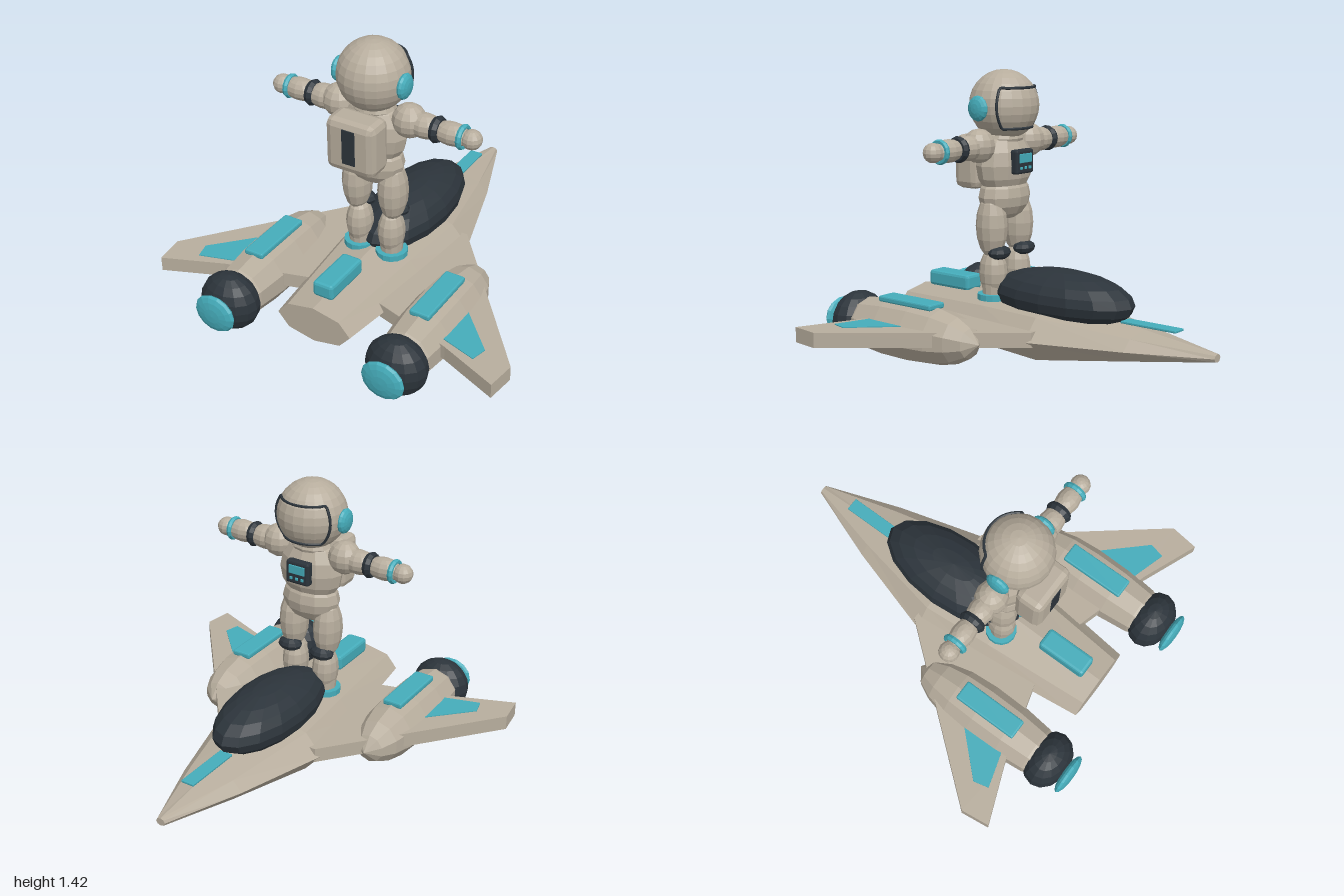
import * as THREE from 'three';
import { RoundedBoxGeometry } from 'three/addons/geometries/RoundedBoxGeometry.js';

const mat = (name, color) => {
  const m = new THREE.MeshStandardMaterial({ color, flatShading: true });
  m.name = name;
  return m;
};

export function createModel() {
  const beige = mat('warm grey shell', 0xb7ad9d);
  const dark = mat('charcoal', 0x2c343b);
  const teal = mat('teal', 0x45acba);
  const model = new THREE.Group();
  model.name = 'astronautOnSpaceship';
  const ship = new THREE.Group();
  ship.name = 'spaceship';
  const astronaut = new THREE.Group();
  astronaut.name = 'astronaut';
  model.add(ship, astronaut);

  const add = (parent, name, geo, material, x = 0, y = 0, z = 0) => {
    const mesh = new THREE.Mesh(geo, material);
    mesh.name = name;
    mesh.position.set(x, y, z);
    parent.add(mesh);
    return mesh;
  };
  const ball = (parent, name, material, p, r, w = 12, h = 8) =>
    add(parent, name, new THREE.SphereGeometry(1, w, h).scale(...r), material, ...p);
  const box = (parent, name, material, p, s, r = 0.01) =>
    add(parent, name, new RoundedBoxGeometry(...s, 1, r), material, ...p);
  // flat plate from a plan outline of [x, z] points
  const plate = (parent, name, material, pts, s, y, depth) => {
    const shape = new THREE.Shape(pts.map(([x, z]) => new THREE.Vector2(s * x, -z)));
    const geo = new THREE.ExtrudeGeometry(shape, { depth, bevelEnabled: false });
    return add(parent, name, geo.rotateX(-Math.PI / 2), material, 0, y, 0);
  };

  // Fuselage: octagonal rings [z, half width, centre y, half height]
  const rings = [
    [-1, 0.025, 0.177, 0.02],
    [-0.6, 0.17, 0.17, 0.075],
    [-0.12, 0.31, 0.165, 0.147],
    [0.25, 0.268, 0.172, 0.137],
    [0.82, 0.2, 0.185, 0.095],
  ];
  const N = 8, pos = [], idx = [];
  for (const [z, w, cy, h] of rings)
    for (let i = 0; i < N; i++) {
      const a = (i / N) * Math.PI * 2;
      pos.push(Math.cos(a) * w, cy + Math.sin(a) * h, z);
    }
  for (let j = 0; j < rings.length - 1; j++)
    for (let i = 0; i < N; i++) {
      const a = j * N + i, b = j * N + ((i + 1) % N);
      idx.push(a, b, b + N, a, b + N, a + N);
    }
  const last = (rings.length - 1) * N;
  for (let i = 1; i < N - 1; i++) idx.push(0, i + 1, i, last, last + i, last + i + 1);
  const hull = new THREE.BufferGeometry();
  hull.setAttribute('position', new THREE.Float32BufferAttribute(pos, 3));
  hull.setIndex(idx);
  hull.computeVertexNormals();
  add(ship, 'fuselage', hull, beige);

  ball(ship, 'canopy', dark, [0, 0.33, -0.11], [0.195, 0.14, 0.415], 16, 10);
  box(ship, 'noseStripe', teal, [0, 0.27, -0.64], [0.07, 0.012, 0.31], 0.003);
  box(ship, 'rearSpine', teal, [0, 0.325, 0.605], [0.11, 0.08, 0.27], 0.015);

  // Wings and engine pods, both sides
  const podProfile = [[0, 0.025], [0.075, 0.08], [0.115, 0.16], [0.14, 0.27], [0.15, 0.42],
    [0.147, 0.6], [0.13, 0.76], [0.1, 0.84]].map(([r, z]) => new THREE.Vector2(r, z));
  for (const s of [1, -1]) {
    const side = s > 0 ? 'left' : 'right';
    plate(ship, side + 'Wing', beige,
      [[0.2, -0.15], [0.29, -0.15], [0.94, 0.65], [0.92, 0.8], [0.62, 0.68], [0.2, 0.56]], s, 0.14, 0.075);
    plate(ship, side + 'WingPanel', teal,
      [[0.59, 0.4], [0.79, 0.61], [0.77, 0.69], [0.57, 0.63]], s, 0.213, 0.006);
    const x = 0.465 * s;
    add(ship, side + 'EnginePod',
      new THREE.LatheGeometry(podProfile, 10).rotateX(Math.PI / 2), beige, x, 0.16, 0);
    ball(ship, side + 'EngineRing', dark, [x, 0.162, 0.84], [0.155, 0.148, 0.115], 14, 10);
    add(ship, side + 'EngineGlow', new THREE.SphereGeometry(1, 14, 8).rotateX(Math.PI / 2)
      .scale(0.112, 0.1, 0.03), teal, x, 0.162, 0.965);
    box(ship, side + 'PodPanel', teal, [x, 0.306, 0.47], [0.105, 0.03, 0.35], 0.008);
  }

  // Head with framed visor and ear discs
  const Z = 0.262, HY = 1.255, R = 0.177;
  ball(astronaut, 'helmet', beige, [0, HY, Z], [0.175, 0.175, 0.175], 20, 14);
  const framePts = [];
  const cut = -0.085, top = 0.09, bottom = -0.11;
  const arc = (y, dir) => {
    const r = Math.sqrt(R * R - y * y), reach = Math.acos(-cut / r);
    for (let i = 0; i <= 10; i++) {
      const a = dir * reach * (i / 5 - 1);
      framePts.push(new THREE.Vector3(r * Math.sin(a), y, -r * Math.cos(a)));
    }
  };
  const edge = (dir) => {
    for (let i = 1; i < 5; i++) {
      const y = top + (bottom - top) * (dir > 0 ? i / 5 : 1 - i / 5);
      framePts.push(new THREE.Vector3(dir * Math.sqrt(R * R - cut * cut - y * y), y, cut));
    }
  };
  arc(top, 1); edge(1); arc(bottom, -1); edge(-1);
  add(astronaut, 'visorFrame', new THREE.TubeGeometry(
    new THREE.CatmullRomCurve3(framePts, true), 80, 0.007, 6, true), dark, 0, HY, Z);

  // Torso, hips, backpack and chest panel
  ball(astronaut, 'torso', beige, [0, 0.96, Z], [0.172, 0.175, 0.115], 12, 8);
  ball(astronaut, 'neck', beige, [0, 1.09, Z], [0.11, 0.05, 0.09]);
  ball(astronaut, 'hips', beige, [0, 0.8, Z], [0.157, 0.12, 0.108]);
  box(astronaut, 'backpack', beige, [0, 0.967, 0.415], [0.26, 0.27, 0.15], 0.035);
  box(astronaut, 'backpackPlate', dark, [0, 0.975, 0.489], [0.07, 0.18, 0.008], 0.002);
  box(astronaut, 'chestPanel', dark, [0, 0.98, 0.148], [0.13, 0.12, 0.045], 0.01);
  box(astronaut, 'chestScreen', teal, [0, 0.998, 0.124], [0.09, 0.045, 0.008], 0.002);
  for (let i = -1; i <= 1; i++)
    box(astronaut, 'chestButton', teal, [i * 0.032, 0.95, 0.124], [0.016, 0.014, 0.008], 0.002);

  // Ears, arms and legs, both sides
  for (const s of [1, -1]) {
    const side = s > 0 ? 'left' : 'right';
    const limb = (name, m, p, r, w, h) =>
      ball(astronaut, side + name, m, [p[0] * s, p[1], p[2]], r, w, h);
    add(astronaut, side + 'EarDisc', new THREE.SphereGeometry(1, 14, 8).rotateZ(Math.PI / 2)
      .scale(0.028, 0.064, 0.06), teal, s * 0.175, 1.245, 0.28);
    limb('Shoulder', beige, [0.19, 1.065, Z], [0.085, 0.085, 0.08]);
    limb('UpperArm', beige, [0.27, 1.06, Z], [0.095, 0.062, 0.062]);
    limb('Forearm', beige, [0.41, 1.06, Z], [0.095, 0.057, 0.057]);
    limb('Hand', beige, [0.512, 1.06, Z], [0.05, 0.048, 0.05]);
    const ring = (name, m, x, r, tube, wide) => add(astronaut, side + name,
      new THREE.TorusGeometry(r, tube, 6, 14).scale(1, 1, wide).rotateY(Math.PI / 2), m, s * x, 1.06, Z);
    ring('ElbowRing', dark, 0.337, 0.047, 0.019, 1.2);
    ring('WristRing', teal, 0.467, 0.05, 0.012, 1.2);
    limb('Thigh', beige, [0.1, 0.655, Z], [0.073, 0.165, 0.085]);
    limb('KneePad', dark, [0.095, 0.527, 0.215], [0.066, 0.036, 0.05], 10, 6);
    limb('Shin', beige, [0.09, 0.42, Z], [0.066, 0.125, 0.076]);
    add(astronaut, side + 'Boot', new THREE.CylinderGeometry(0.062, 0.055, 0.1, 12), beige, s * 0.09, 0.36, Z);
    add(astronaut, side + 'FootPad', new THREE.CylinderGeometry(0.08, 0.08, 0.03, 14), teal, s * 0.09, 0.3, Z);
  }
  return model;
}
